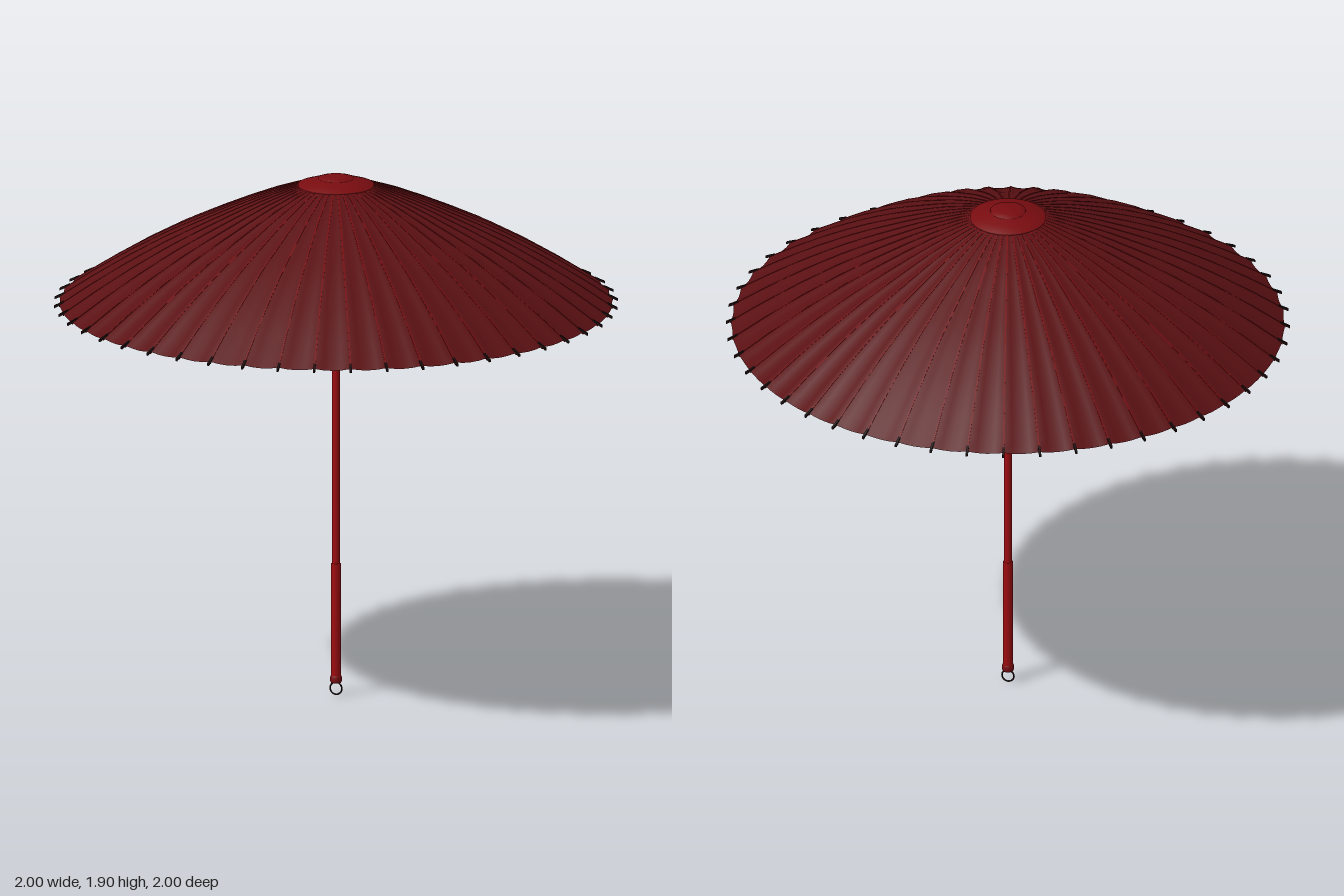
import * as THREE from 'three';

const RIBS = 48;
// Canopy profile: radius, height
const PROFILE = [[0.03, 1.888], [0.13, 1.864], [0.28, 1.812], [0.42, 1.752], [0.6, 1.668], [0.8, 1.556], [0.983, 1.438]];
const mat = (color) => new THREE.MeshStandardMaterial({ color, side: THREE.DoubleSide });
const paper = mat(0x5a1013), lacquer = mat(0x9c0c10), wood = mat(0x780c10), dark = mat(0x1c0c0c);

export function createModel() {
  const group = new THREE.Group();
  const add = (name, geometry, material, y = 0) => {
    const mesh = new THREE.Mesh(geometry, material);
    mesh.name = name;
    mesh.position.y = y;
    group.add(mesh);
    return mesh;
  };
  const lathe = (name, points, material, segments = 32) =>
    add(name, new THREE.LatheGeometry(points.map(p => new THREE.Vector2(...p)), segments), material);

  // One copy of a part at every rib angle
  const ring = (name, geometry, material) => {
    const set = new THREE.Group();
    set.name = name;
    for (let i = 0; i < RIBS; i++) {
      const mesh = new THREE.Mesh(geometry, material);
      mesh.name = name + i;
      mesh.rotation.y = (i / RIBS) * Math.PI * 2;
      set.add(mesh);
    }
    group.add(set);
  };

  // Rectangular bar swept along radius/height points
  const bar = (points, width, depth) => {
    const shape = new THREE.Shape();
    points.forEach(([r, y], i) => (i ? shape.lineTo(r, y) : shape.moveTo(r, y)));
    [...points].reverse().forEach(([r, y]) => shape.lineTo(r, y - depth));
    const geo = new THREE.ExtrudeGeometry(shape, { depth: width, bevelEnabled: false });
    return geo.translate(0, 0, -width / 2);
  };

  // Pleated canopy: the paper sags between neighbouring ribs
  const curve = new THREE.SplineCurve(PROFILE.map(p => new THREE.Vector2(...p)));
  const rows = curve.getPoints(18), sub = 4, cols = RIBS * sub;
  const pos = [], index = [];
  rows.forEach((p, j) => {
    for (let i = 0; i <= cols; i++) {
      const a = (i / cols) * Math.PI * 2, t = (i % sub) / sub;
      const sag = 4 * t * (1 - t) * p.x;
      const r = p.x - 0.006 * sag;
      pos.push(r * Math.cos(a), p.y - 0.008 * sag, -r * Math.sin(a));
      if (j && i) {
        const d = j * (cols + 1) + i, c = d - 1, b = d - cols - 1, e = b - 1;
        index.push(e, c, b, b, c, d);
      }
    }
  });
  const cloth = new THREE.BufferGeometry();
  cloth.setAttribute('position', new THREE.Float32BufferAttribute(pos, 3));
  cloth.setIndex(index);
  cloth.computeVertexNormals();
  add('canopy', cloth, paper);

  // Ribs, their protruding tips and the struts that carry them
  const ribLine = rows.filter((p, i) => i % 2 === 0).map(p => [p.x, p.y + 0.001]);
  ring('rib', bar(ribLine, 0.005, 0.009), wood);
  ring('ribTip', bar([[0.965, 1.453], [1.0, 1.436]], 0.008, 0.009), dark);
  ring('strut', bar([[0.04, 1.442], [0.14, 1.518], [0.42, 1.748]], 0.005, 0.007), paper);

  // Hub under the apex and cap on top
  lathe('upperHub', [[0.013, 1.845], [0.03, 1.845], [0.035, 1.868], [0.11, 1.856], [0.195, 1.83], [0.195, 1.836]], lacquer, 48);
  lathe('cap', [[0.135, 1.86], [0.135, 1.867], [0.1, 1.878], [0.063, 1.888]], wood, 48);
  lathe('capKnob', [[0.063, 1.885], [0.063, 1.891], [0.04, 1.897], [0, 1.9]], wood);

  // Runner: dish, flange and tapered socket
  lathe('runnerDish', [[0.035, 1.435], [0.07, 1.452], [0.11, 1.482], [0.14, 1.51], [0.135, 1.512], [0.07, 1.46], [0.013, 1.45]], lacquer, 48);
  lathe('runnerFlange', [[0.014, 1.415], [0.036, 1.415], [0.046, 1.425], [0.046, 1.437], [0.014, 1.437]], dark);
  lathe('runnerSocket', [[0.013, 1.328], [0.021, 1.328], [0.025, 1.335], [0.032, 1.39], [0.032, 1.415], [0.014, 1.42]], lacquer);

  // Shaft, grip and end loop
  add('shaft', new THREE.CylinderGeometry(0.0135, 0.0135, 1.82, 24), lacquer, 0.96);
  lathe('grip', [[0.013, 0.482], [0.018, 0.48], [0.018, 0.07], [0.013, 0.07]], lacquer, 24);
  lathe('gripEnd', [[0, 0.046], [0.018, 0.046], [0.021, 0.052], [0.021, 0.066], [0.018, 0.072]], wood, 24);
  add('loop', new THREE.TorusGeometry(0.022, 0.003, 8, 32), dark, 0.025);

  return group;
}
